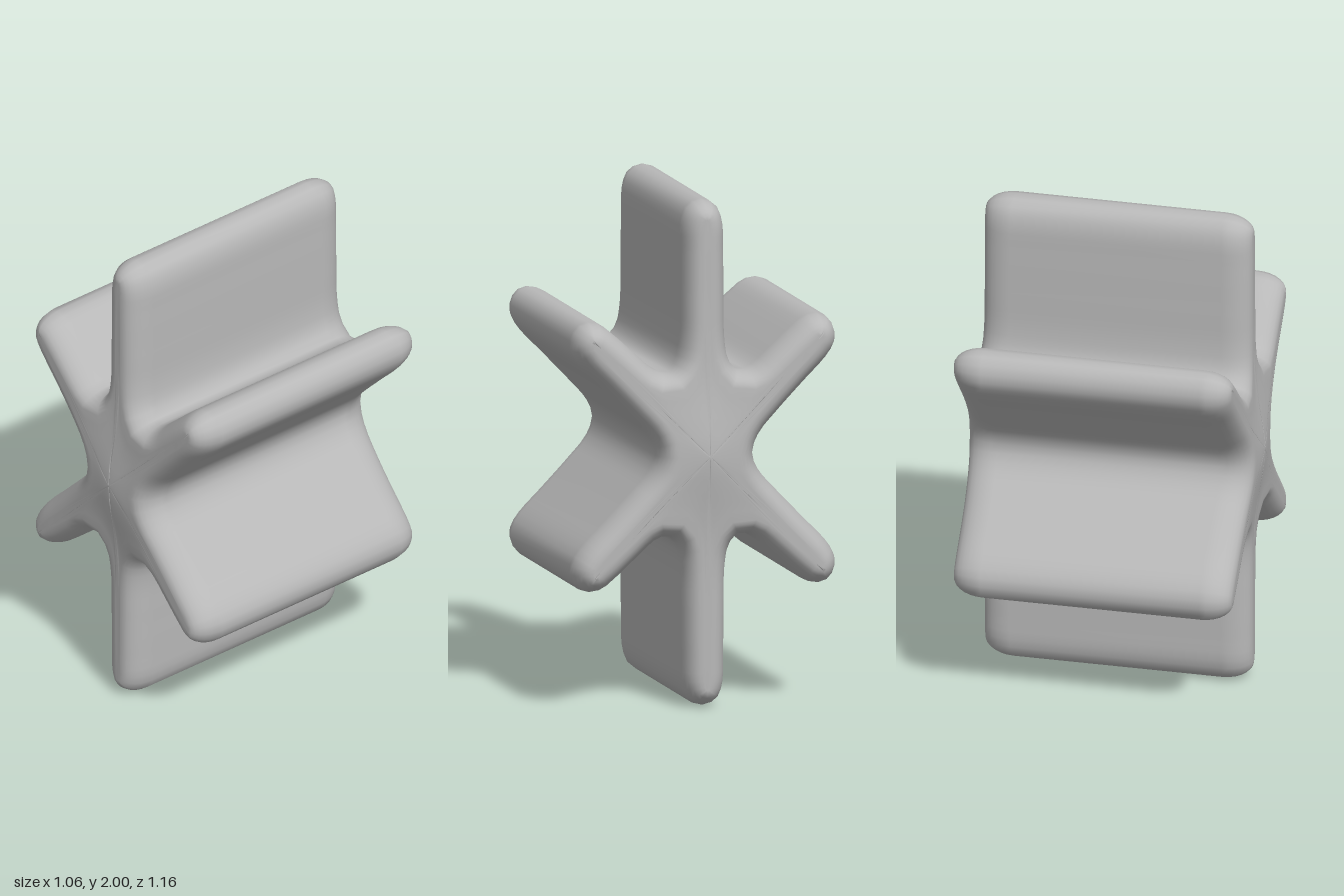
import * as THREE from 'three';

// One quarter of the six-armed outline, clockwise from the top tip, hub at the origin
const QUARTER = [
  [0, 1], [0.055, 0.977], [0.08, 0.92], [0.085, 0.8], [0.087, 0.6], [0.09, 0.45],
  [0.105, 0.365], [0.14, 0.323], [0.19, 0.333], [0.28, 0.41], [0.36, 0.482],
  [0.42, 0.525], [0.485, 0.528], [0.525, 0.485], [0.53, 0.425], [0.5, 0.37],
  [0.4, 0.265], [0.29, 0.15], [0.22, 0.07], [0.195, 0],
];
const SIDES = 200;
const INSET = 0.07;   // how far the rounded edge pulls in
const ROUND = 0.12;   // how deep the rounded edge runs along z

// Closed smooth outline made by mirroring the quarter
function outlineCurve() {
  const right = [...QUARTER, ...QUARTER.slice(0, -1).reverse().map(([x, y]) => [x, -y])];
  const left = right.slice(1, -1).reverse().map(([x, y]) => [-x, y]);
  const points = [...right, ...left].map(([x, y]) => new THREE.Vector3(x, y, 0));
  return new THREE.CatmullRomCurve3(points, true, 'centripetal');
}

// Half depth: fullest at the hub, slightly deeper on the diagonal blades
function halfDepth(x, y) {
  const side = 0.022 * THREE.MathUtils.smoothstep(Math.abs(x), 0, 0.2);
  const hub = Math.exp(-(x * x + y * y) / 0.05);
  return 0.535 + side + (0.045 - side) * hub;
}

function starGeometry() {
  const curve = outlineCurve();
  curve.arcLengthDivisions = 800;
  const base = [];
  for (let i = 0; i < SIDES; i++) {
    const p = curve.getPointAt(i / SIDES);
    const t = curve.getTangentAt(i / SIDES);
    base.push({ x: p.x, y: p.y, nx: -t.y, ny: t.x });
  }

  // Sections of one half: rounded edge, then the face closing to the hub centre
  const sections = [];
  for (let k = 0; k <= 7; k++) {
    const a = (k / 7) * Math.PI / 2;
    sections.push({ inset: INSET * (1 - Math.cos(a)), drop: ROUND * (1 - Math.sin(a)), scale: 1 });
  }
  for (const scale of [0.85, 0.7, 0.5, 0.3, 0.15, 0]) {
    sections.push({ inset: INSET, drop: 0, scale });
  }
  const rings = [
    ...sections.slice().reverse().map((s) => ({ ...s, sign: -1 })),
    ...sections.map((s) => ({ ...s, sign: 1 })),
  ];

  const positions = [];
  const index = [];
  rings.forEach((ring, k) => {
    base.forEach((b, i) => {
      const x = (b.x - b.nx * ring.inset) * ring.scale;
      const y = (b.y - b.ny * ring.inset) * ring.scale;
      positions.push(x, y + 1, ring.sign * (halfDepth(x, y) - ring.drop));
      if (k === rings.length - 1) return;
      const j = (i + 1) % SIDES;
      const a = k * SIDES + i, c = k * SIDES + j;
      if (k < rings.length - 2) index.push(a, a + SIDES, c + SIDES);
      else index.push(a, a + SIDES, c);
      if (k > 0 && k < rings.length - 2) index.push(a, c + SIDES, c);
    });
  });

  const geometry = new THREE.BufferGeometry();
  geometry.setAttribute('position', new THREE.Float32BufferAttribute(positions, 3));
  geometry.setIndex(index);
  geometry.computeVertexNormals();
  return geometry;
}

export function createModel() {
  const model = new THREE.Group();
  model.name = 'sixBladeStar';
  const grey = new THREE.MeshStandardMaterial({ color: 0xb8b8b8 });
  grey.name = 'lightGrey';

  // Hub and six rounded blades as one continuous skin
  const body = new THREE.Mesh(starGeometry(), grey);
  body.name = 'bladesAndHub';
  model.add(body);
  return model;
}
